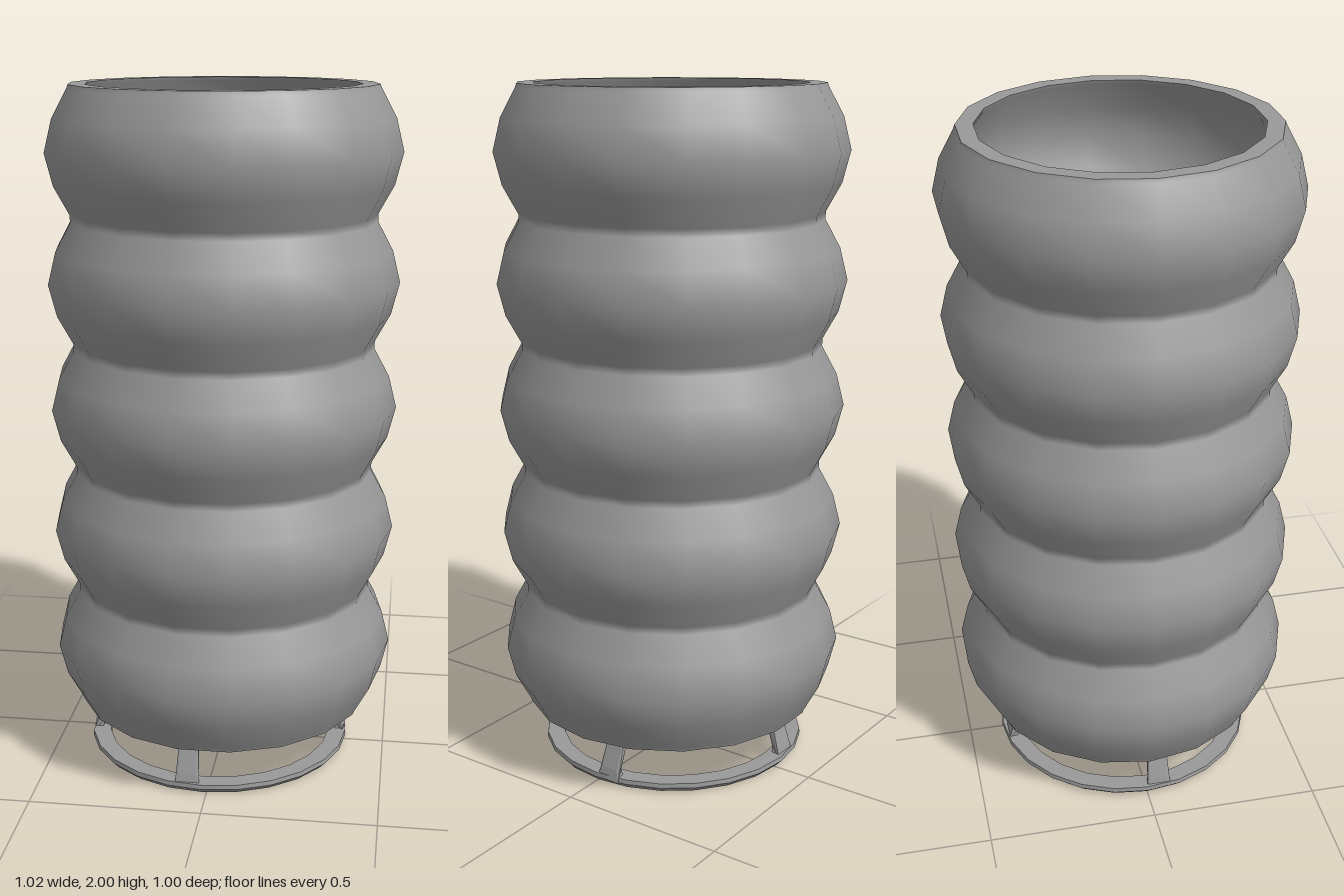
import * as THREE from 'three';
import { mergeGeometries } from 'three/addons/utils/BufferGeometryUtils.js';

const smooth = new THREE.MeshStandardMaterial({ color: 0x999999 });
const flat = new THREE.MeshStandardMaterial({ color: 0x999999, flatShading: true });

// Revolves each profile separately, so normals stay sharp where two profiles meet.
function revolve(name, profiles, sides) {
  const parts = profiles.map((profile) => new THREE.LatheGeometry(
    profile.map(([r, y]) => new THREE.Vector2(r, y)), sides, Math.PI / 2));
  const mesh = new THREE.Mesh(mergeGeometries(parts), smooth);
  mesh.name = name;
  return mesh;
}

// Five stacked bulges with rounded waists, an outer and an inner wall, open at both ends.
function bellows() {
  const bottom = 0.16, top = 2, count = 5, wall = 0.048, neck = 0.437;
  const step = (top - bottom) / count;
  const bulge = [[0.03, 0.441], [0.25, 0.485], [0.5, 0.508], [0.75, 0.485], [0.97, 0.441]];
  const outer = [[neck, bottom]];
  for (let i = 0; i < count; i++) {
    outer.push(...bulge.map(([t, r]) => [r, bottom + step * (i + t)]));
  }
  outer.push([neck, top]);
  const inner = outer.map(([r, y]) => [r - wall, y]).reverse();
  const topRim = [[neck, top], [neck - wall, top]];
  const bottomRim = [[neck - wall, bottom], [neck, bottom]];
  return revolve('bellowsTube', [outer, topRim, inner, bottomRim], 18);
}

// Thin base ring, narrower underneath.
function baseRing() {
  const section = [[0.342, 0.005], [0.382, 0], [0.397, 0.016], [0.395, 0.029], [0.342, 0.029]];
  const mesh = revolve('baseRing', section.map((p, i) => [p, section[(i + 1) % section.length]]), 24);
  mesh.position.x = -0.0125;
  return mesh;
}

// Post with a flared foot that leans inward, then bends back out to the tube wall.
// Local +x points outward.
function post(name, x, z, angle, lean) {
  const side = [
    [0.013, 0.015], [0.004, 0.05], [0.014 - lean, 0.168], [0.05, 0.215],
    [0.05, 0.245], [-0.013 - lean, 0.176], [-0.02, 0.05], [-0.013, 0.015],
  ];
  const shape = new THREE.Shape(side.map(([u, v]) => new THREE.Vector2(u, v)));
  const geometry = new THREE.ExtrudeGeometry(shape, { depth: 0.052, bevelEnabled: false });
  geometry.translate(0, 0, -0.026);
  const p = geometry.attributes.position;
  for (let i = 0; i < p.count; i++) {
    if (p.getY(i) < 0.03) p.setZ(i, p.getZ(i) * 1.4);
  }
  const mesh = new THREE.Mesh(geometry, flat);
  mesh.name = name;
  mesh.position.set(x, 0, z);
  mesh.rotation.y = angle;
  return mesh;
}

export function createModel() {
  const group = new THREE.Group();
  group.name = 'bellowsHose';
  group.add(bellows(), baseRing());
  group.add(
    post('frontPost', -0.057, 0.373, -Math.PI / 2, 0.05),
    post('backPost', -0.057, -0.373, Math.PI / 2, 0.045),
    post('leftPost', 0.367, -0.043, 0, 0.058),
    post('rightPost', -0.387, 0.037, Math.PI, 0.05),
  );
  return group;
}
